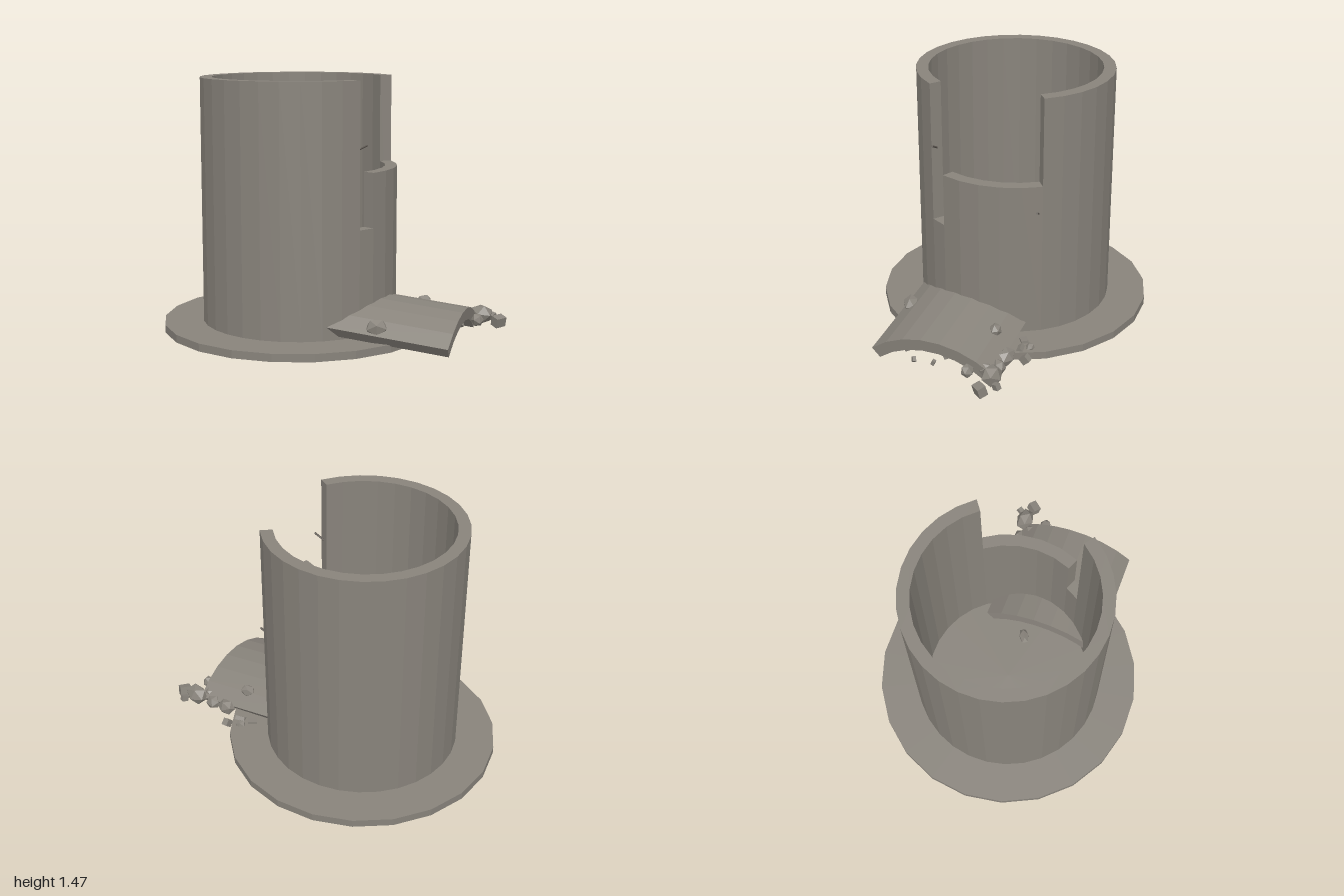
import * as THREE from 'three';

const RO = 0.57, RI = 0.5, TOWER_X = -0.2;
const rad = THREE.MathUtils.degToRad;

// Curved wall piece: ring sector between two angles, extruded along z
function wallSector(from, to, length) {
  const steps = Math.max(1, Math.round((to - from) / 11.5));
  const at = (r, i) => {
    const a = rad(from + (to - from) * i / steps);
    return new THREE.Vector2(r * Math.cos(a), r * Math.sin(a));
  };
  const pts = [];
  for (let i = 0; i <= steps; i++) pts.push(at(RO, i));
  for (let i = steps; i >= 0; i--) pts.push(at(RI, i));
  return new THREE.ExtrudeGeometry(new THREE.Shape(pts), { depth: length, bevelEnabled: false });
}

export function createModel() {
  const root = new THREE.Group();
  const concrete = new THREE.MeshStandardMaterial({ color: 0x88837b, flatShading: true });
  concrete.name = 'concrete';
  const steel = new THREE.MeshStandardMaterial({ color: 0x5c5650, flatShading: true });
  steel.name = 'steel';

  const add = (name, geometry, material, parent = root) => {
    const mesh = new THREE.Mesh(geometry, material);
    mesh.name = name;
    parent.add(mesh);
    return mesh;
  };

  // Foundation disc
  const base = add('foundation', new THREE.CylinderGeometry(0.8, 0.8, 0.045, 22), concrete);
  base.rotation.y = Math.PI / 2;
  base.position.set(TOWER_X, 0.0375, 0);

  // Tower wall, broken open towards +x
  const tower = new THREE.Group();
  tower.name = 'tower';
  tower.position.set(TOWER_X, 0.06, 0);
  root.add(tower);
  [
    ['mainWall', 35.4, 324.6, 1.48],
    ['lowWall', -25, 35.4, 0.97],
    ['slotWall', -35.4, -25, 0.66],
  ].forEach(([name, from, to, top]) => {
    add(name, wallSector(from, to, top - 0.06).rotateX(-Math.PI / 2), concrete, tower);
  });

  // Fallen wall panel, arched over the rubble
  const panel = wallSector(50.2, 129.8, 0.69)
    .translate(0, -RO, -0.345).rotateY(Math.PI / 2);
  const fallen = add('fallenPanel', panel, concrete);
  fallen.position.set(0.474, 0.237, 0.115);
  fallen.rotation.set(0, -0.02, -0.093);

  // Bent reinforcing bars sticking out beside the break
  [[0.31, 1.112], [-0.31, 0.805]].forEach(([z, y]) => {
    const bar = add('reinforcingBar', new THREE.CylinderGeometry(0.006, 0.006, 0.07, 6), steel);
    bar.position.set(0.268, y, z);
    bar.rotation.z = -1.1;
  });

  // Rubble
  let seed = 7;
  const rand = () => (seed = (seed * 16807) % 2147483647) / 2147483647;
  const rubble = new THREE.Group();
  rubble.name = 'rubble';
  root.add(rubble);

  // Rocks: x, y, z, radius, stretch along x
  [
    [0.07, 0.09, 0.01, 0.038, 1.4], [0.39, 0.145, 0.43, 0.058, 1.1],
    [0.52, 0.17, -0.15, 0.042, 1.1], [0.46, 0.06, -0.335, 0.032, 1],
    [0.62, 0.075, -0.25, 0.052, 1.3], [0.72, 0.07, -0.245, 0.047, 1],
    [0.84, 0.09, -0.25, 0.066, 1.15], [0.845, 0.09, -0.11, 0.043, 0.9],
    [0.66, 0.08, -0.1, 0.055, 1], [0.62, 0.075, 0.0, 0.045, 1],
    [0.64, 0.085, 0.13, 0.052, 1], [0.55, 0.055, 0.2, 0.04, 1],
    [0.78, 0.08, -0.19, 0.045, 1],
  ].forEach(([x, y, z, r, stretch]) => {
    const rock = add('rock', new THREE.IcosahedronGeometry(r, 0), concrete, rubble);
    rock.position.set(x, y, z);
    rock.scale.set(stretch, 0.95, 0.85);
    rock.rotation.set(rand() * 0.6, rand() * 1.2 - 0.6, rand() * 0.6 - 0.3);
  });

  // Squared chunks: x, y, z, size
  [
    [0.555, 0.04, -0.34, 0.05], [0.41, 0.05, -0.28, 0.055], [0.95, 0.063, -0.225, 0.068],
    [0.49, 0.045, -0.29, 0.06], [0.66, 0.055, 0.32, 0.07], [0.68, 0.065, 0.08, 0.06],
    [0.6, 0.05, -0.05, 0.05], [0.9, 0.07, -0.3, 0.04], [0.5, 0.04, 0.27, 0.05],
  ].forEach(([x, y, z, s]) => {
    const chunk = add('chunk', new THREE.BoxGeometry(s, s * 0.85, s * 0.75), concrete, rubble);
    chunk.position.set(x, y, z);
    chunk.rotation.set(rand() * 0.8, rand() * 2, rand() * 0.8 - 0.4);
  });

  // Small shards at ground level
  for (let i = 0; i < 8; i++) {
    const shard = add('shard', new THREE.BoxGeometry(0.03, 0.02, 0.02), concrete, rubble);
    shard.position.set(0.4 + rand() * 0.4, 0.025 + (i % 2) * 0.03, -0.15 + rand() * 0.45);
    shard.rotation.set(rand(), rand() * 3, rand());
  }

  return root;
}
